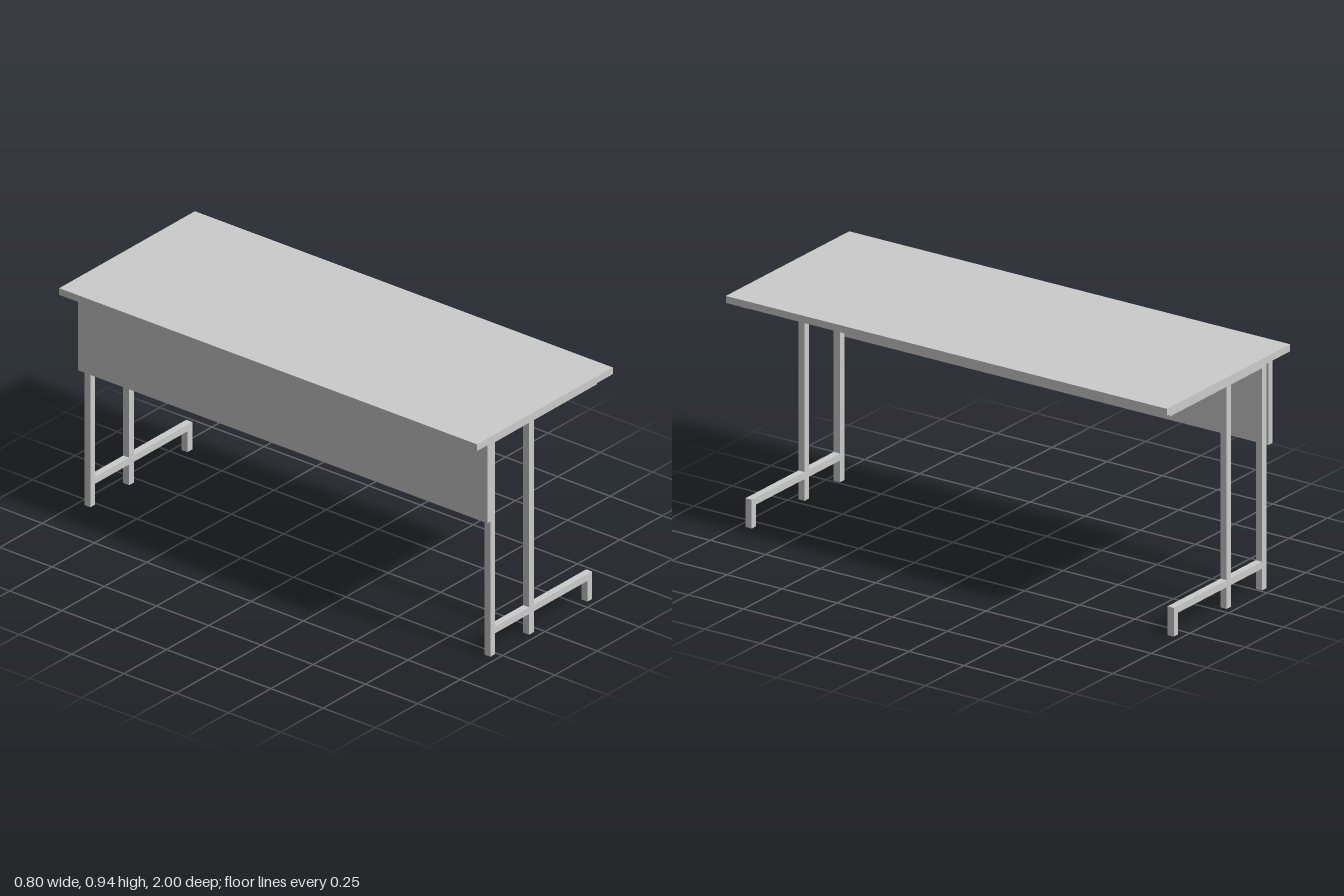
import * as THREE from 'three';

const material = new THREE.MeshStandardMaterial({ color: 0xcccccc });

// Box given by its lower and upper limits on each axis
function bar(name, [x0, x1], [y0, y1], [z0, z1]) {
  const mesh = new THREE.Mesh(new THREE.BoxGeometry(x1 - x0, y1 - y0, z1 - z0), material);
  mesh.position.set((x0 + x1) / 2, (y0 + y1) / 2, (z0 + z1) / 2);
  mesh.name = name;
  return mesh;
}

export function createModel() {
  const model = new THREE.Group();
  model.name = 'desk';
  const tube = 0.0286; // square tube width
  const topY = 0.916, railY = topY - tube;
  const footY = [0.087, 0.115];

  // Table top and the modesty panel hanging below it
  model.add(bar('tableTop', [-0.4, 0.4], [topY, 0.944], [-1, 1]));
  model.add(bar('modestyPanel', [-0.315, -0.287], [0.573, topY], [-0.98, 0.98]));

  // One square-tube frame at each end
  for (const side of [-1, 1]) {
    const frame = new THREE.Group();
    frame.name = side > 0 ? 'frontEndFrame' : 'backEndFrame';
    frame.position.z = side * 0.957;
    const z = [-tube / 2, tube / 2];
    frame.add(
      bar('outerLeg', [-0.287, -0.287 + tube], [0, topY], z),
      bar('middleLeg', [-0.058, -0.058 + tube], [0, railY], z),
      bar('topRail', [-0.287 + tube, 0.343], [railY, topY], z),
      bar('footRailInner', [-0.287 + tube, -0.058], footY, z),
      bar('footRailOuter', [-0.058 + tube, 0.314], footY, z),
      bar('shortFoot', [0.314 - tube, 0.314], [0, footY[0]], z),
    );
    model.add(frame);
  }
  return model;
}
